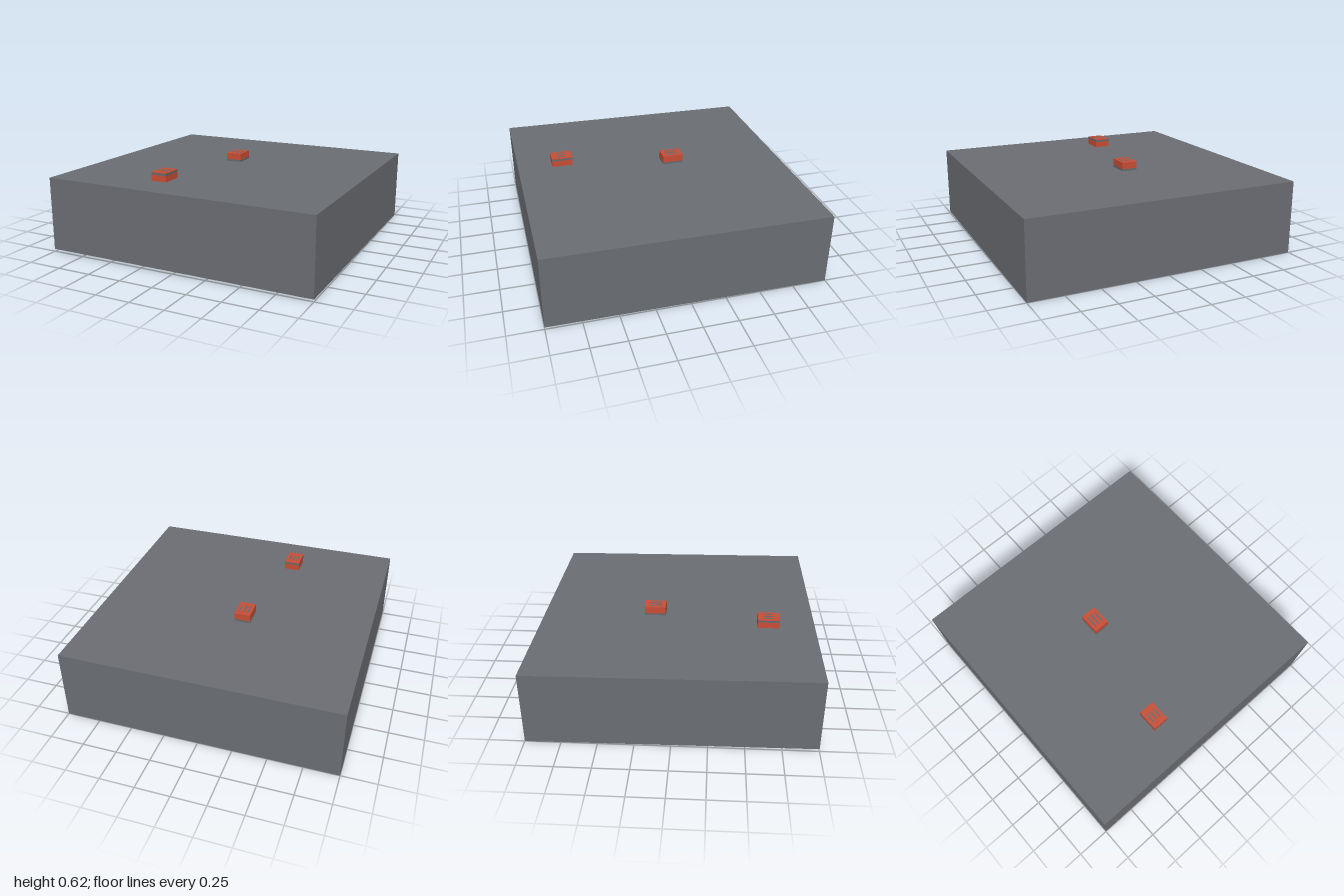
import * as THREE from 'three';

const slab = new THREE.MeshStandardMaterial({ color: 0x6a6d72, side: THREE.DoubleSide });
slab.name = 'slate grey';
const red = new THREE.MeshStandardMaterial({ color: 0xc84d34 });
red.name = 'brick red';
const grey = new THREE.MeshStandardMaterial({ color: 0x666a6e });
grey.name = 'panel grey';

const HEIGHT = 0.534;
// gentle slope: higher at the front, a touch higher on the -x side
const lift = (x, z) => 0.0085 * (1 + z) - 0.001 * x * (1 + z);

function addBox(parent, name, material, size, pos) {
  const mesh = new THREE.Mesh(new THREE.BoxGeometry(...size), material);
  mesh.position.set(...pos);
  mesh.name = name;
  parent.add(mesh);
  return mesh;
}

// Ground block: sheared box, hollow and open underneath
function makeGround() {
  const box = new THREE.BoxGeometry(2, HEIGHT, 2);
  const index = Array.from(box.index.array);
  index.splice(18, 6); // drop the bottom face
  box.setIndex(index);
  box.clearGroups();
  const p = box.attributes.position;
  for (let i = 0; i < p.count; i++) {
    p.setY(i, p.getY(i) + HEIGHT / 2 + lift(p.getX(i), p.getZ(i)));
  }
  const geometry = box.toNonIndexed();
  geometry.computeVertexNormals();
  const mesh = new THREE.Mesh(geometry, slab);
  mesh.name = 'groundBlock';
  return mesh;
}

// Small rooftop unit with slotted lid and a grey band round its sides
function makeUnit(name, x, z, slotLength, bandY) {
  const w = 0.116, h = 0.068, d = 0.156;
  const unit = new THREE.Group();
  unit.name = name;
  addBox(unit, 'casing', red, [w, h, d], [0, h / 2, 0]);
  for (const sx of [-0.031, 0, 0.031]) {
    addBox(unit, 'ventSlot', grey, [0.012, 0.003, slotLength], [sx, h, 0]);
  }
  addBox(unit, 'sideBand', grey, [w + 0.002, 0.015, d + 0.002], [0, bandY, 0]);
  unit.position.set(x, HEIGHT + lift(x, z) - 0.003, z);
  unit.rotation.x = -0.0085; // follow the slope
  return unit;
}

export function createModel() {
  const model = new THREE.Group();
  model.name = 'groundWithUnits';
  model.add(makeGround());
  model.add(makeUnit('frontUnit', -0.252, 0.665, 0.07, 0.056));
  model.add(makeUnit('backUnit', -0.087, -0.167, 0.09, 0.011));
  return model;
}
